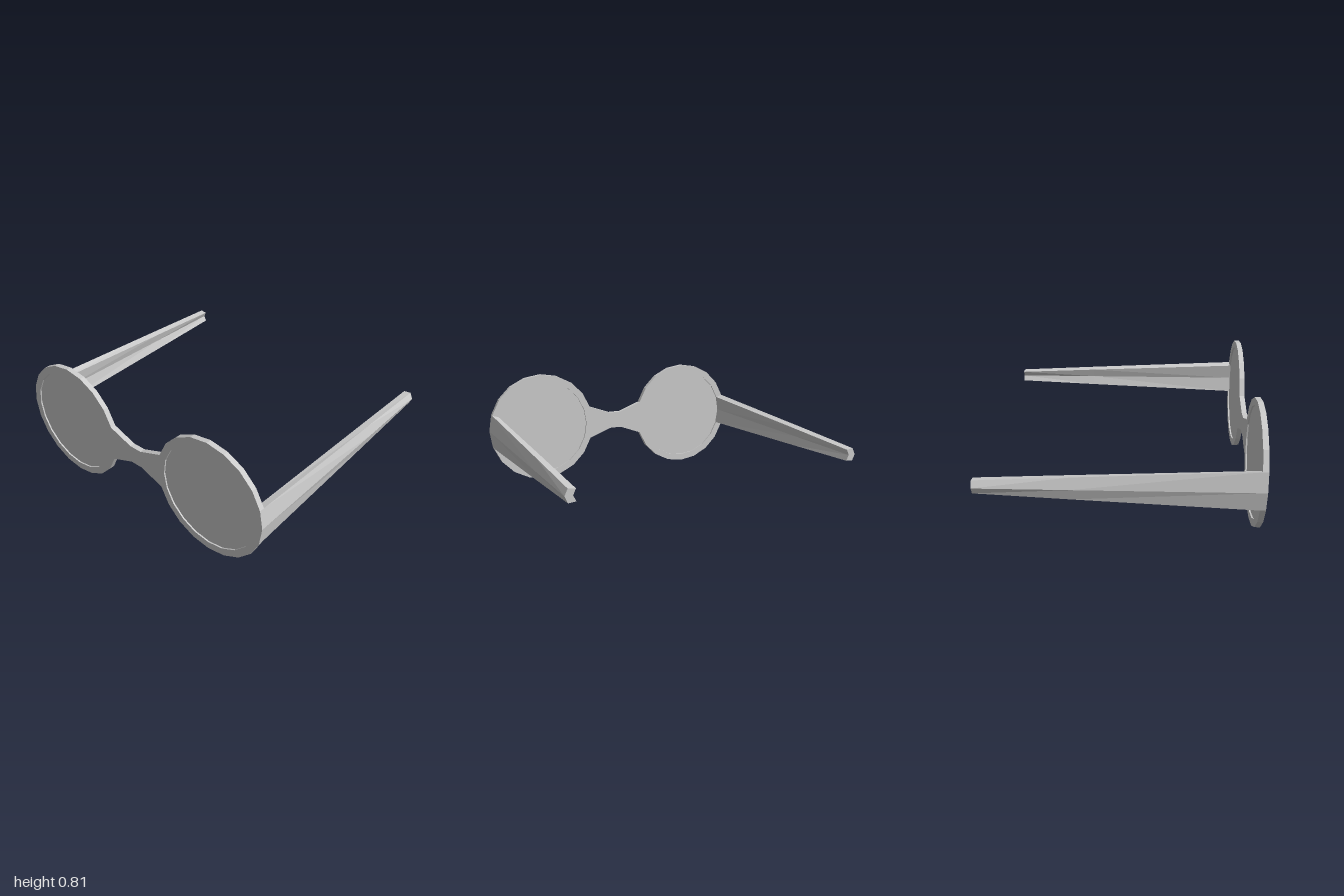
import * as THREE from 'three';

const SIDES = 20, CX = 0.597, CY = 0.404, R_OUT = 0.403, R_IN = 0.353;
const Z_BACK = 0.82, Z_FRONT = 0.855;

const material = new THREE.MeshStandardMaterial({ color: 0xcccccc, flatShading: true });

// Corner k of a 20-sided ring of radius r around (cx, cy)
function corner(r, k, cx = 0, cy = 0) {
  const a = (k / SIDES) * Math.PI * 2;
  return new THREE.Vector2(cx + r * Math.cos(a), cy + r * Math.sin(a));
}

function ring(r) {
  return Array.from({ length: SIDES }, (_, k) => corner(r, k));
}

// Flat plate between two depths
function plate(shape, z0, z1) {
  const geometry = new THREE.ExtrudeGeometry(shape, { depth: z1 - z0, bevelEnabled: false });
  return geometry.translate(0, 0, z0);
}

function addMesh(parent, geometry, name) {
  const mesh = new THREE.Mesh(geometry, material);
  mesh.name = name;
  parent.add(mesh);
  return mesh;
}

// Temple arm: a chevron section taken from the rim, flattened in height towards the tip
function armGeometry(side) {
  const section = [
    corner(R_OUT, -1), corner(R_OUT, 0), corner(R_OUT, 1),
    corner(R_IN, 1), corner(R_IN, 0), corner(R_IN, -1),
  ];
  const stations = [[Z_BACK, 1], [-0.28, 0.575], [-0.855, 0.34]];
  const n = section.length, positions = [], index = [];
  for (const [z, s] of stations) {
    for (const p of section) positions.push(side * (CX + p.x), CY + p.y * s, z);
  }
  const tri = (a, b, c) => (side > 0 ? index.push(a, b, c) : index.push(a, c, b));
  for (let i = 0; i < stations.length - 1; i++) {
    for (let j = 0; j < n; j++) {
      const a = i * n + j, b = i * n + (j + 1) % n;
      tri(a, a + n, b);
      tri(b, a + n, b + n);
    }
  }
  // End caps, each made of the two halves of the chevron
  const e = (stations.length - 1) * n;
  for (const [a, b, c, d] of [[0, 1, 4, 5], [1, 2, 3, 4]]) {
    tri(a, b, c);
    tri(a, c, d);
    tri(e + a, e + c, e + b);
    tri(e + a, e + d, e + c);
  }
  const geometry = new THREE.BufferGeometry();
  geometry.setAttribute('position', new THREE.Float32BufferAttribute(positions, 3));
  geometry.setIndex(index);
  const flat = geometry.toNonIndexed();
  flat.computeVertexNormals();
  return flat;
}

export function createModel() {
  const group = new THREE.Group();
  group.name = 'glasses';

  for (const [side, label] of [[1, 'left'], [-1, 'right']]) {
    // Rim with its opening
    const rimShape = new THREE.Shape(ring(R_OUT));
    rimShape.holes.push(new THREE.Path(ring(R_IN).reverse()));
    addMesh(group, plate(rimShape, Z_BACK, Z_FRONT), label + 'Rim').position.set(side * CX, CY, 0);

    // Lens, set slightly back from both faces of the rim
    const lens = plate(new THREE.Shape(ring(R_IN)), Z_BACK + 0.01, Z_FRONT - 0.01);
    addMesh(group, lens, label + 'Lens').position.set(side * CX, CY, 0);

    addMesh(group, armGeometry(side), label + 'Arm');
  }

  // Bridge, meeting each rim along two of its sides
  const half = [9, 10, 11].map((k) => corner(R_OUT, k, CX, CY));
  const right = [new THREE.Vector2(0.045, 0.467), ...half, new THREE.Vector2(0.045, 0.343)];
  const left = right.map((p) => new THREE.Vector2(-p.x, p.y)).reverse();
  addMesh(group, plate(new THREE.Shape([...right, ...left]), Z_BACK, Z_FRONT), 'bridge');

  return group;
}
